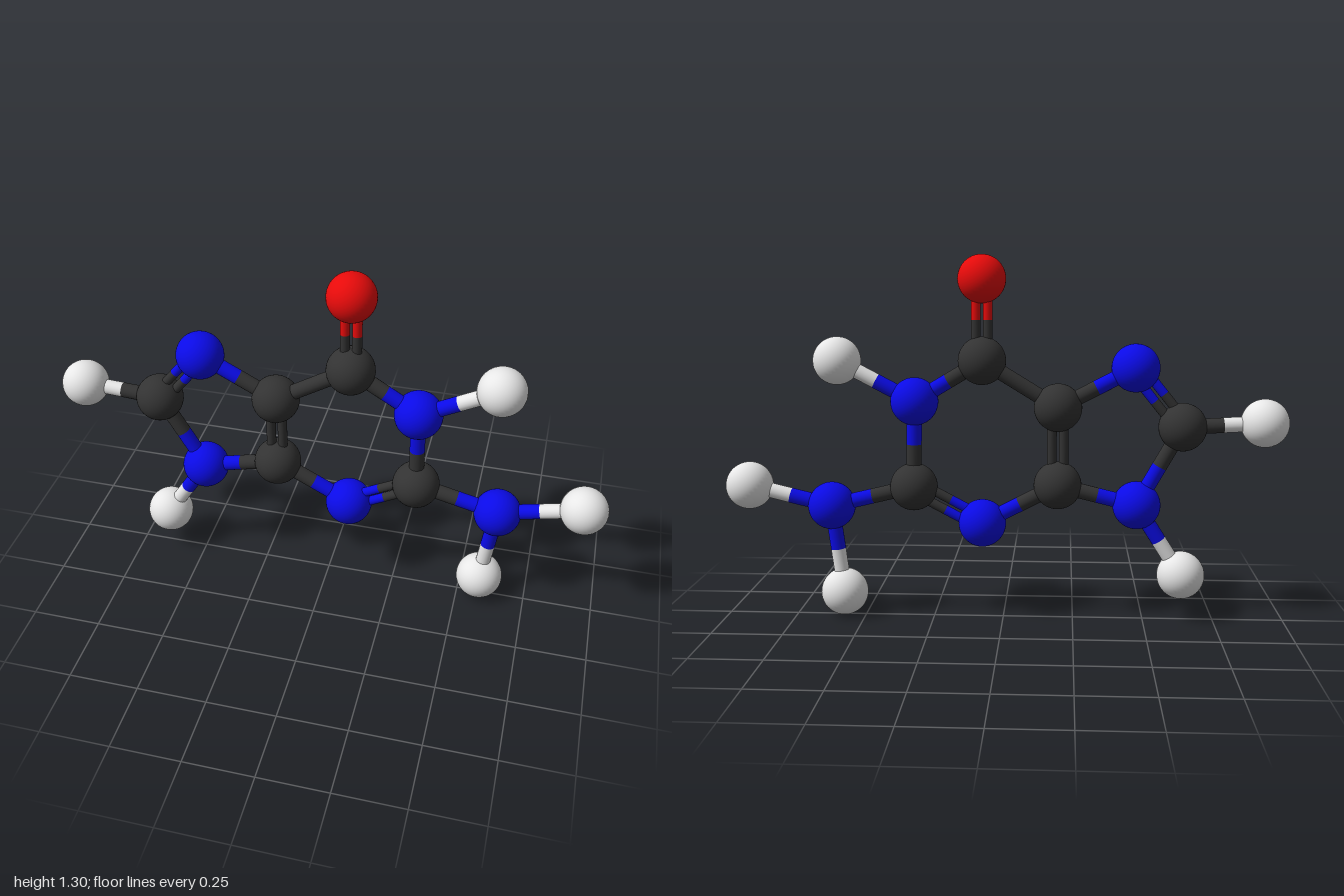
import * as THREE from 'three';

const paint = (name, color) => {
  const m = new THREE.MeshStandardMaterial({ color });
  m.name = name;
  return m;
};

export function createModel() {
  const materials = {
    carbon: paint('charcoal', 0x333333),
    nitrogen: paint('blue', 0x0d0dff),
    oxygen: paint('red', 0xff0d0d),
    hydrogen: paint('white', 0xf2f2f2),
  };

  // Flat molecule: element and position of each atom, all at z = 0
  const atoms = {
    O6: ['oxygen', 0.075, 1.213],
    C6: ['carbon', 0.075, 0.928],
    N1: ['nitrogen', 0.315, 0.783],
    H1: ['hydrogen', 0.588, 0.926],
    C2: ['carbon', 0.32, 0.476],
    N2: ['nitrogen', 0.618, 0.404],
    H2a: ['hydrogen', 0.915, 0.475],
    H2b: ['hydrogen', 0.577, 0.086],
    N3: ['nitrogen', 0.075, 0.346],
    C4: ['carbon', -0.193, 0.486],
    C5: ['carbon', -0.193, 0.764],
    N7: ['nitrogen', -0.463, 0.905],
    C8: ['carbon', -0.63, 0.698],
    H8: ['hydrogen', -0.915, 0.714],
    N9: ['nitrogen', -0.473, 0.417],
    H9: ['hydrogen', -0.634, 0.164],
  };

  // Pairs of bonded atoms; the third entry is the bond order
  const bonds = [
    ['C6', 'O6', 2], ['C6', 'N1', 1], ['N1', 'H1', 1], ['N1', 'C2', 1],
    ['C2', 'N2', 1], ['N2', 'H2a', 1], ['N2', 'H2b', 1], ['C2', 'N3', 2],
    ['N3', 'C4', 1], ['C4', 'C5', 2], ['C5', 'C6', 1], ['C5', 'N7', 1],
    ['N7', 'C8', 2], ['C8', 'H8', 1], ['C8', 'N9', 1], ['N9', 'C4', 1],
    ['N9', 'H9', 1],
  ];

  const model = new THREE.Group();
  model.name = 'molecule';
  const up = new THREE.Vector3(0, 1, 0);
  const position = (id) => new THREE.Vector3(atoms[id][1], atoms[id][2], 0);

  // Atom balls
  const ball = new THREE.SphereGeometry(0.085, 40, 24);
  for (const [id, [element]] of Object.entries(atoms)) {
    const mesh = new THREE.Mesh(ball, materials[element]);
    mesh.name = `${element}Atom${id}`;
    mesh.position.copy(position(id));
    model.add(mesh);
  }

  // A rod from an atom to the middle of its bond, in the atom's colour
  const addHalfRod = (group, id, from, to, radius) => {
    const rod = new THREE.Mesh(
      new THREE.CylinderGeometry(radius, radius, from.distanceTo(to), 20),
      materials[atoms[id][0]],
    );
    rod.name = `halfBond${id}`;
    rod.position.lerpVectors(from, to, 0.5);
    rod.quaternion.setFromUnitVectors(up, to.clone().sub(from).normalize());
    group.add(rod);
  };

  // Single bonds are one rod, double bonds two thinner rods side by side
  for (const [a, b, order] of bonds) {
    const group = new THREE.Group();
    group.name = `${order === 2 ? 'double' : 'single'}Bond${a}${b}`;
    const start = position(a);
    const end = position(b);
    const along = end.clone().sub(start).normalize();
    const side = new THREE.Vector3(-along.y, along.x, 0);
    const radius = order === 2 ? 0.017 : 0.027;
    for (const offset of order === 2 ? [-0.021, 0.021] : [0]) {
      const p = start.clone().addScaledVector(side, offset);
      const q = end.clone().addScaledVector(side, offset);
      const middle = p.clone().lerp(q, 0.5);
      addHalfRod(group, a, p, middle, radius);
      addHalfRod(group, b, q, middle, radius);
    }
    model.add(group);
  }

  return model;
}
